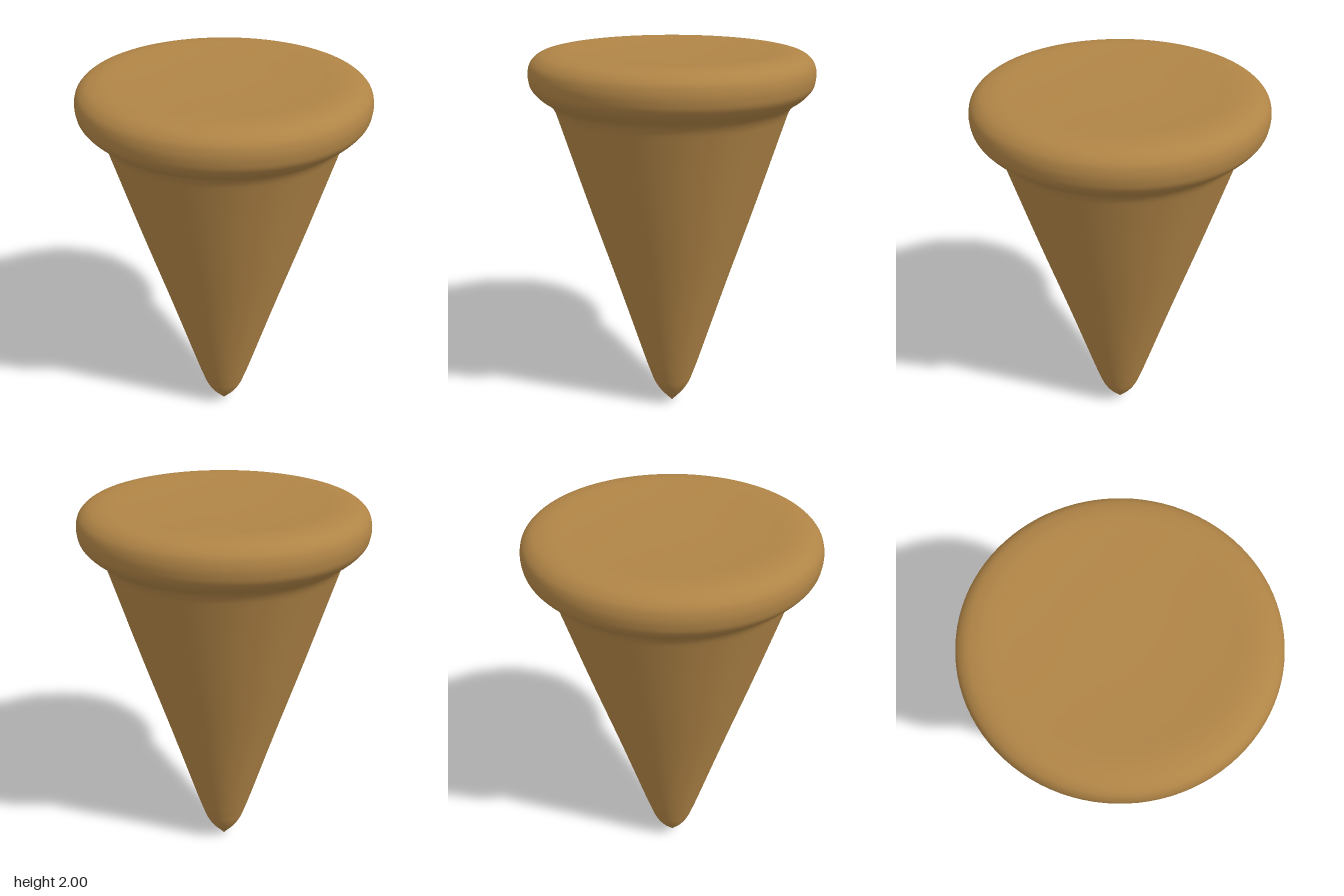
import * as THREE from 'three';

const clay = new THREE.MeshStandardMaterial({ color: 0xb08446 });
clay.name = 'ochre';

// Smooth surface of revolution through [radius, height] pairs, listed from bottom to top
function turned(name, pairs, steps) {
  const curve = new THREE.SplineCurve(pairs.map(([r, y]) => new THREE.Vector2(r, y)));
  const points = curve.getPoints(steps);
  points.forEach((p) => { p.x = Math.max(p.x, 0); });
  const mesh = new THREE.Mesh(new THREE.LatheGeometry(points, 96), clay);
  mesh.name = name;
  return mesh;
}

export function createModel() {
  const model = new THREE.Group();
  model.name = 'peg';

  // Tapered shaft with a rounded, pointed tip
  model.add(turned('shaft', [
    [0, 0], [0.02, 0.025], [0.065, 0.08], [0.1, 0.14], [0.125, 0.21],
    [0.16, 0.32], [0.29, 0.75], [0.43, 1.2], [0.55, 1.6], [0.574, 1.68],
  ], 54));

  // Flared neck, rounded rim and slightly dished top
  model.add(turned('head', [
    [0.574, 1.68], [0.588, 1.72], [0.612, 1.755], [0.66, 1.79], [0.695, 1.83],
    [0.706, 1.87], [0.706, 1.91], [0.692, 1.95], [0.655, 1.982], [0.6, 1.997],
    [0.54, 2], [0.44, 1.994], [0.25, 1.986], [0, 1.984],
  ], 65));

  return model;
}
